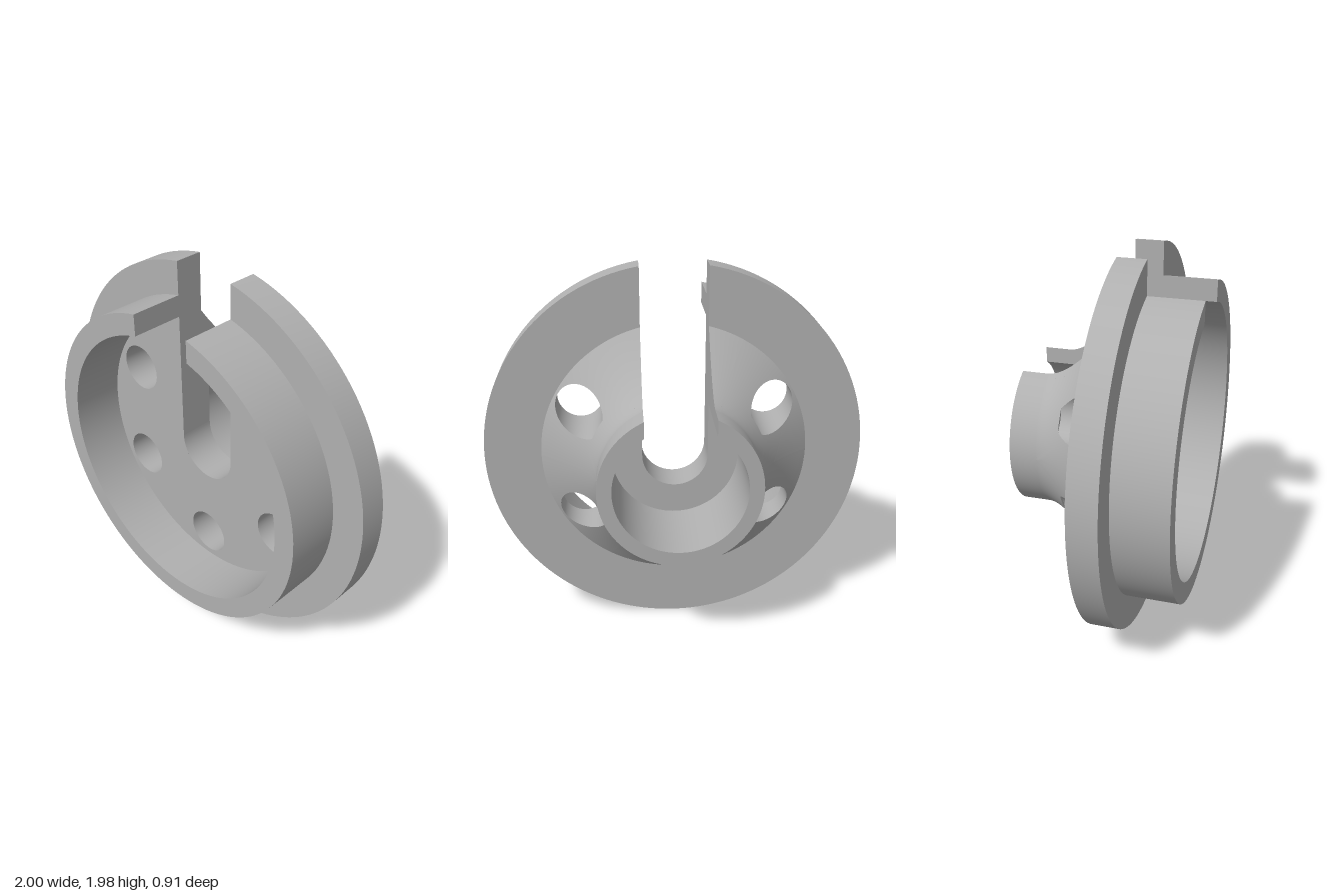
import * as THREE from 'three';

// Main dimensions: the wheel axis runs along z
const SLOT = 0.173, BORE = 0.333, HUB = 0.407, ROOT = 0.703, FLOOR = 0.72, RIM = 0.83, FLANGE = 1;
const Z_BACK = -0.455, Z_NECK = -0.315, Z_BORE = -0.01, Z_FLANGE = 0.035, Z_FLOOR = 0.18, Z_RIM = 0.455;
const HOLE_R = 0.123, HOLE_DIST = 0.567, HOLE_END = -0.19, POWER = 1.65;
const HOLE_ANGLES = [30, 150, 210, 270, 330].map(THREE.MathUtils.degToRad);

const metal = new THREE.MeshStandardMaterial({ color: 0xb0b0b0, side: THREE.DoubleSide });
metal.name = 'grey metal';

// Angle and height at which a circle of radius r meets the slot wall
const slotAngle = r => Math.acos(SLOT / r);
const slotHeight = r => Math.sqrt(r * r - SLOT * SLOT);

// Concave flare: radius from z, and z from radius
const flareR = z => HUB + (ROOT - HUB) * Math.pow(Math.max(0, (z - Z_NECK) / (Z_FLANGE - Z_NECK)), POWER);
const flareZ = r => Z_NECK + (Z_FLANGE - Z_NECK) * Math.pow((r - HUB) / (ROOT - HUB), 1 / POWER);
const polar = (a, r, z) => [r * Math.cos(a), r * Math.sin(a), z];
const lerp = THREE.MathUtils.lerp;

// Surface patch from point(u, v), with u and v running 0..1
function patch(nu, nv, point) {
  const pos = [], index = [];
  for (let j = 0; j <= nv; j++)
    for (let i = 0; i <= nu; i++) pos.push(...point(i / nu, j / nv));
  for (let j = 0; j < nv; j++)
    for (let i = 0; i < nu; i++) {
      const a = j * (nu + 1) + i, d = a + nu + 1;
      index.push(a, a + 1, d + 1, a, d + 1, d);
    }
  const g = new THREE.BufferGeometry();
  g.setAttribute('position', new THREE.Float32BufferAttribute(pos, 3));
  g.setIndex(index);
  g.computeVertexNormals();
  return g;
}

// Band swept round the axis between two profile points, open at the slot
const band = ([r1, z1], [r2, z2]) => patch(128, 1, (u, v) => {
  const r = lerp(r1, r2, v), a = slotAngle(r);
  return polar(lerp(Math.PI - a, 2 * Math.PI + a, u), r, lerp(z1, z2, v));
});

// Disc with the U-shaped slot cut out
function slottedDisc(r) {
  const a = slotAngle(r), s = new THREE.Shape();
  s.absarc(0, 0, r, Math.PI - a, 2 * Math.PI + a, false);
  s.lineTo(SLOT, 0);
  s.absarc(0, 0, SLOT, 2 * Math.PI, Math.PI, true);
  s.closePath();
  return s;
}

// Cross-section of the wheel where the slot cuts it
function slotWall(side) {
  const pts = [[Z_FLOOR, 0], [Z_FLOOR, slotHeight(FLOOR)], [Z_RIM, slotHeight(FLOOR)], [Z_RIM, slotHeight(RIM)],
    [Z_FLOOR, slotHeight(RIM)], [Z_FLOOR, slotHeight(FLANGE)], [Z_FLANGE, slotHeight(FLANGE)]];
  for (let i = 0; i <= 20; i++) {
    const z = lerp(Z_FLANGE, Z_NECK, i / 20);
    pts.push([z, slotHeight(flareR(z))]);
  }
  pts.push([Z_BACK, slotHeight(HUB)], [Z_BACK, slotHeight(BORE)], [Z_BORE, slotHeight(BORE)], [Z_BORE, 0]);
  const shape = new THREE.Shape(pts.map(([z, y]) => new THREE.Vector2(side * z, y)));
  return new THREE.ShapeGeometry(shape).rotateY(-side * Math.PI / 2).translate(side * SLOT, 0, 0);
}

// Point on the edge of a lightening hole, in polar form
function holeEdge(center, phi) {
  const t = HOLE_R * Math.cos(phi), n = HOLE_DIST + HOLE_R * Math.sin(phi);
  const r = Math.hypot(t, n);
  return { a: center + Math.atan2(t, n), r, z: Math.max(flareZ(r), HOLE_END) };
}

export function createModel() {
  const model = new THREE.Group();
  model.name = 'slottedWheel';
  const group = name => {
    const g = new THREE.Group();
    g.name = name;
    model.add(g);
    return g;
  };
  const add = (parent, name, geometry) => {
    const m = new THREE.Mesh(geometry, metal);
    m.name = name;
    parent.add(m);
  };
  const addProfile = (parent, parts, pts) =>
    parts.forEach((name, i) => add(parent, name, band(pts[i], pts[i + 1])));

  // Flange, front rim and hub tube
  addProfile(group('flange'), ['flangeBack', 'flangeEdge', 'flangeFront'],
    [[ROOT, Z_FLANGE], [FLANGE, Z_FLANGE], [FLANGE, Z_FLOOR], [RIM, Z_FLOOR]]);
  addProfile(group('rim'), ['rimOutside', 'rimFront', 'rimInside'],
    [[RIM, Z_FLOOR], [RIM, Z_RIM], [FLOOR, Z_RIM], [FLOOR, Z_FLOOR]]);
  addProfile(group('hub'), ['hubBore', 'hubEnd', 'hubOutside'],
    [[BORE, Z_BORE], [BORE, Z_BACK], [HUB, Z_BACK], [HUB, Z_NECK]]);

  // Web: recessed front floor with holes, and the bottom of the bore
  const web = group('web');
  const floor = slottedDisc(FLOOR);
  for (const a of HOLE_ANGLES)
    floor.holes.push(new THREE.Path().absarc(HOLE_DIST * Math.cos(a), HOLE_DIST * Math.sin(a), HOLE_R, 0, 2 * Math.PI, true));
  add(web, 'recessFloor', new THREE.ShapeGeometry(floor, 64).translate(0, 0, Z_FLOOR));
  add(web, 'boreFloor', new THREE.ShapeGeometry(slottedDisc(BORE), 64).rotateY(Math.PI).translate(0, 0, Z_BORE));

  // Slot: two flat walls and the round end
  const slot = group('slot');
  add(slot, 'leftSlotWall', slotWall(1));
  add(slot, 'rightSlotWall', slotWall(-1));
  add(slot, 'slotRoundEnd', patch(48, 1, (u, v) => polar(Math.PI * (1 + u), SLOT, lerp(Z_FLOOR, Z_BORE, v))));

  // Flare: one sector round each hole, with the hole wall and its small end ledge
  const flare = group('flare');
  for (const center of HOLE_ANGLES) {
    add(flare, 'flareSector', patch(96, 12, (u, v) => {
      const phi = u * 2 * Math.PI, c = Math.cos(phi), s = Math.sin(phi);
      const k = 1 / Math.max(Math.abs(c), Math.abs(s)), e = holeEdge(center, phi);
      const a = lerp(center + c * k * Math.PI / 6, e.a, v);
      const z = lerp(lerp(Z_NECK, Z_FLANGE, (s * k + 1) / 2), e.z, v);
      return polar(a, flareR(z), z);
    }));
    add(flare, 'holeWall', patch(96, 1, (u, v) => {
      const e = holeEdge(center, u * 2 * Math.PI);
      return polar(e.a, e.r, lerp(e.z, Z_FLOOR, v));
    }));
    add(flare, 'holeLedge', patch(24, 1, (u, v) => {
      const e = holeEdge(center, lerp(-0.75, -0.25, u) * Math.PI);
      return polar(e.a, lerp(e.r, flareR(e.z), v), e.z);
    }));
  }

  // Flare strips beside the slot
  const strip = (from, to) => patch(8, 20, (u, v) => {
    const z = lerp(Z_NECK, Z_FLANGE, v), r = flareR(z);
    return polar(lerp(from(r), to(r), u), r, z);
  });
  add(flare, 'leftFlareStrip', strip(() => Math.PI / 3, slotAngle));
  add(flare, 'rightFlareStrip', strip(r => Math.PI - slotAngle(r), () => 2 * Math.PI / 3));

  model.position.y = FLANGE;
  return model;
}
